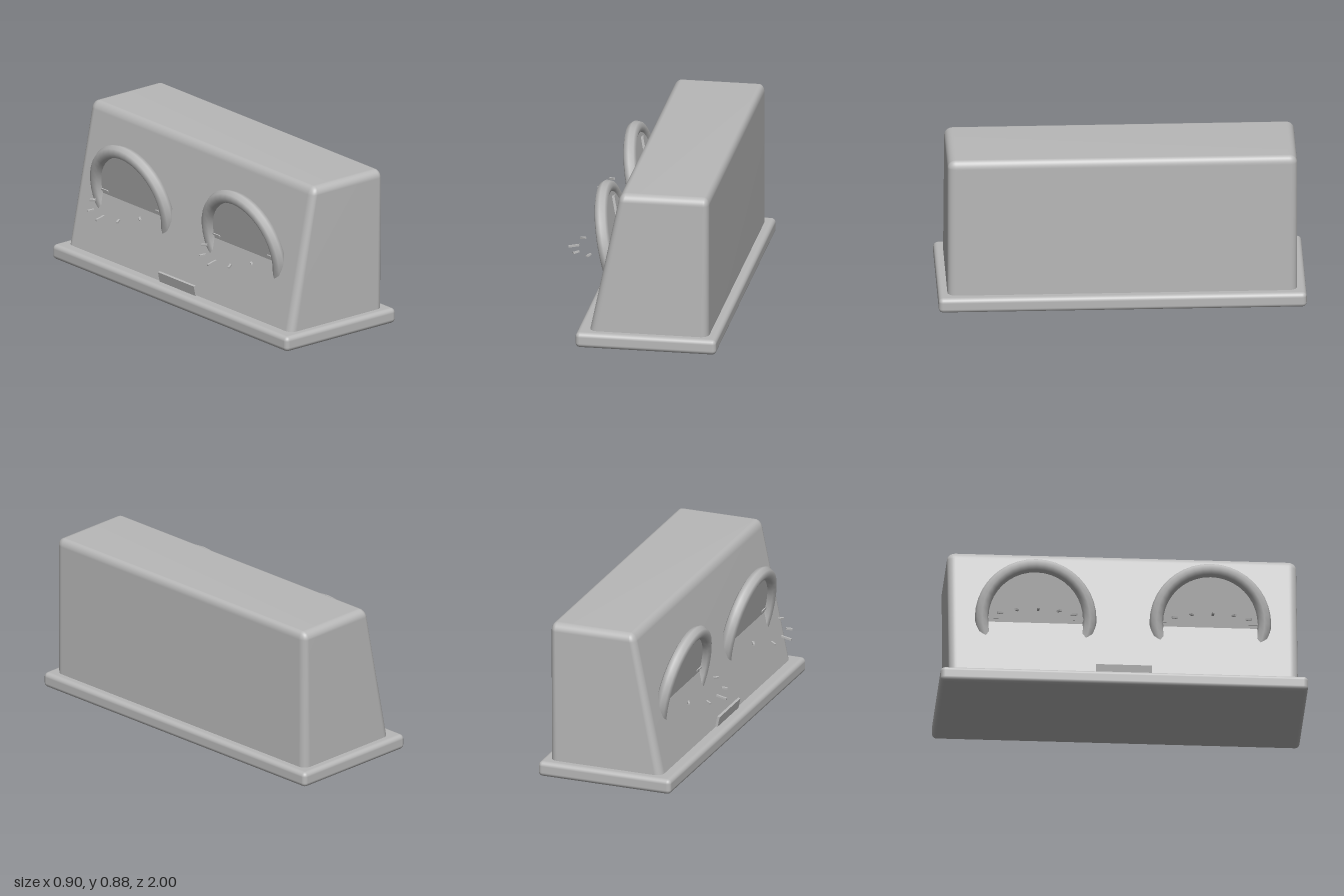
import * as THREE from 'three';
import { RoundedBoxGeometry } from 'three/addons/geometries/RoundedBoxGeometry.js';
import { mergeVertices } from 'three/addons/utils/BufferGeometryUtils.js';

const grey = new THREE.MeshStandardMaterial({ color: 0xb8b8b8 });
grey.name = 'plain grey';
const TILT = THREE.MathUtils.degToRad(12);

function add(parent, name, geometry, x = 0, y = 0, z = 0) {
  const mesh = new THREE.Mesh(geometry, grey);
  mesh.name = name;
  mesh.position.set(x, y, z);
  parent.add(mesh);
  return mesh;
}

// Rounded block whose -x side leans back towards the top
function housingGeometry() {
  const right = 0.395, bottom = 0.02, top = 0.88, width = 0.67;
  const rounded = new RoundedBoxGeometry(width, top - bottom, 1.9, 4, 0.045);
  rounded.translate(right - width / 2, (top + bottom) / 2, 0);
  rounded.deleteAttribute('normal');
  rounded.deleteAttribute('uv');
  rounded.clearGroups();
  const geometry = mergeVertices(rounded, 1e-4);
  const p = geometry.attributes.position;
  for (let i = 0; i < p.count; i++) {
    const face = -0.278 + 0.209 * p.getY(i);
    p.setX(i, right - (right - p.getX(i)) * (right - face) / width);
  }
  geometry.computeVertexNormals();
  return geometry;
}

// Gauge: local z points out of the dial, local y up along it
function makeGauge(z) {
  const gauge = new THREE.Group();
  gauge.name = 'gauge';
  gauge.position.set(-0.195, 0.445, z);
  gauge.rotation.set(0, -Math.PI / 2, TILT, 'ZYX');

  add(gauge, 'rim', new THREE.TorusGeometry(0.294, 0.037, 8, 40));
  const dial = add(gauge, 'dial', new THREE.CylinderGeometry(0.285, 0.285, 0.02, 40), 0, 0, -0.01);
  dial.rotation.x = Math.PI / 2;

  const needle = add(gauge, 'needle', new THREE.BoxGeometry(0.04, 0.25, 0.014), -0.022, 0.115, -0.035);
  needle.rotation.z = 0.18;

  // Fan of tick marks, every third one longer
  for (let i = 0; i < 7; i++) {
    const a = (i - 3) * Math.PI / 6;
    const length = i % 3 === 0 ? 0.06 : 0.035;
    const tick = add(gauge, 'tick', new THREE.BoxGeometry(0.012, 0.01, length),
      0.232 * Math.sin(a), 0, 0.232 * Math.cos(a));
    tick.rotation.y = a;
  }
  return gauge;
}

export function createModel() {
  const model = new THREE.Group();
  model.name = 'gaugeHousing';

  add(model, 'base', new RoundedBoxGeometry(0.775, 0.085, 2, 3, 0.025), 0.0575, 0.0425, 0);
  add(model, 'housing', housingGeometry());
  for (const side of [-1, 1]) model.add(makeGauge(side * 0.475));

  // Small plate standing at the foot of the sloping side
  const plate = add(model, 'plate', new THREE.BoxGeometry(0.014, 0.08, 0.305), -0.267, 0.104, 0);
  plate.rotation.z = TILT;

  return model;
}
